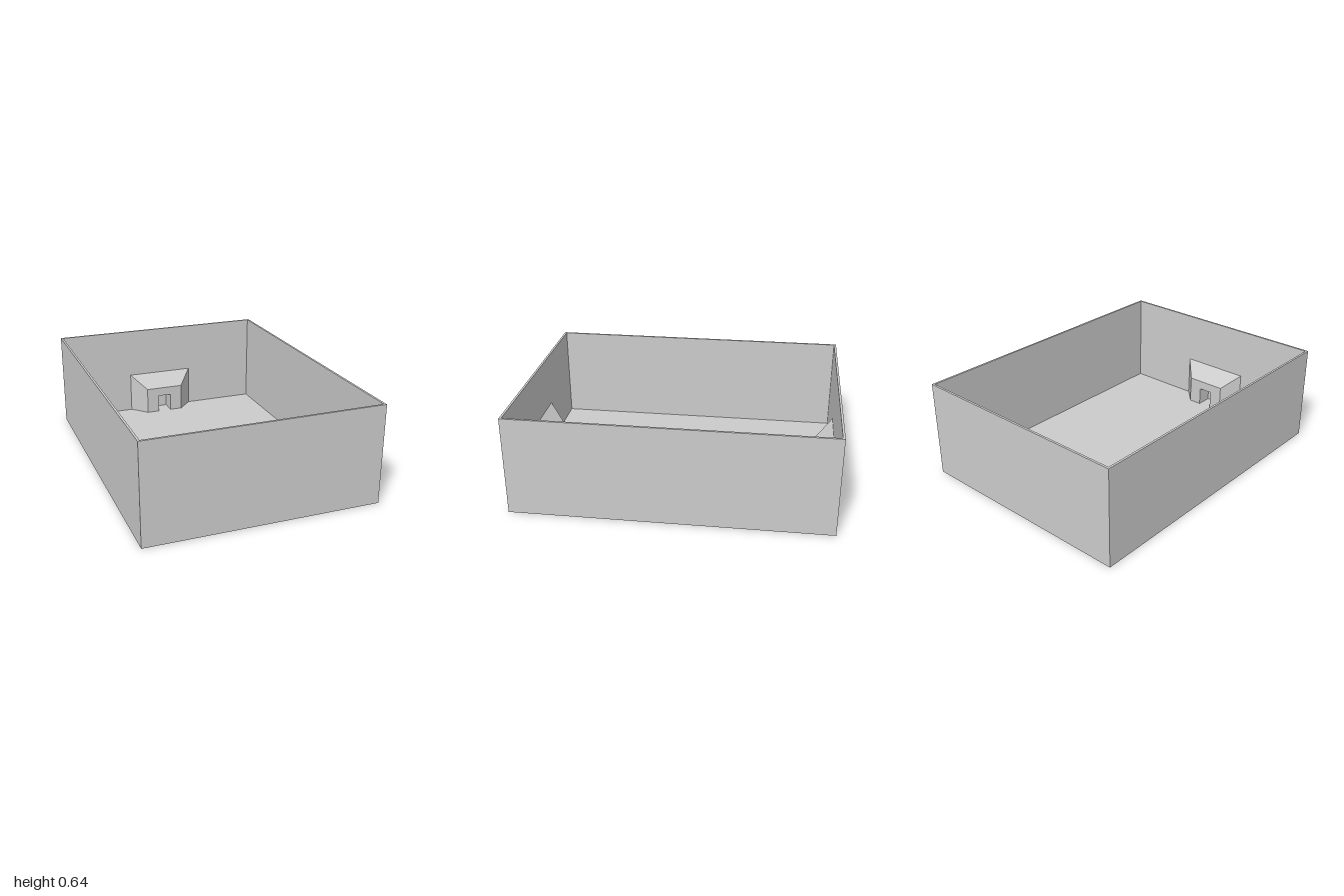
import * as THREE from 'three';

const W = 1.495, L = 2, H = 0.64, T = 0.014;   // outer width, length, height, wall thickness

const material = new THREE.MeshStandardMaterial({ color: 0xcccccc, flatShading: true });

function addMesh(parent, name, geometry) {
  const mesh = new THREE.Mesh(geometry, material);
  mesh.name = name;
  parent.add(mesh);
  return mesh;
}

function rectangle(PathType, w, l) {
  return new PathType([
    new THREE.Vector2(-w / 2, -l / 2), new THREE.Vector2(w / 2, -l / 2),
    new THREE.Vector2(w / 2, l / 2), new THREE.Vector2(-w / 2, l / 2),
  ]);
}

// Rectangular ring of walls, open at the top
function wallGeometry() {
  const ring = rectangle(THREE.Shape, W, L);
  ring.holes.push(rectangle(THREE.Path, W - 2 * T, L - 2 * T));
  const geometry = new THREE.ExtrudeGeometry(ring, { depth: H, bevelEnabled: false });
  geometry.rotateX(-Math.PI / 2);
  return geometry;
}

// Block with a doorway, flaring wider and taller towards the wall behind it
function goalGeometry() {
  const front = 0.135, back = 0.235, door = 0.047;
  const lintel = 0.125, frontTop = 0.187, backTop = 0.281;
  const outline = new THREE.Shape([
    [-front, 0], [-door, 0], [-door, lintel], [door, lintel],
    [door, 0], [front, 0], [front, frontTop], [-front, frontTop],
  ].map(([x, y]) => new THREE.Vector2(x, y)));
  const geometry = new THREE.ExtrudeGeometry(outline, { depth: 0.108, bevelEnabled: false });
  const p = geometry.attributes.position;
  for (let i = 0; i < p.count; i++) {
    if (p.getZ(i) > 0.01) continue;
    if (Math.abs(p.getX(i)) > door + 0.01) p.setX(i, Math.sign(p.getX(i)) * back);
    if (p.getY(i) > lintel + 0.01) p.setY(i, backTop);
  }
  geometry.computeVertexNormals();
  return geometry;
}

export function createModel() {
  const model = new THREE.Group();
  model.name = 'arena';

  addMesh(model, 'walls', wallGeometry());
  const floor = addMesh(model, 'floor', new THREE.BoxGeometry(W - 2 * T, T, L - 2 * T));
  floor.position.y = T / 2;

  // One goal at each end, facing the middle
  const goal = goalGeometry();
  for (const [name, side] of [['backGoal', -1], ['frontGoal', 1]]) {
    const mesh = addMesh(model, name, goal);
    mesh.position.set(0, T, side * (L / 2 - T));
    if (side > 0) mesh.rotation.y = Math.PI;
  }
  return model;
}
